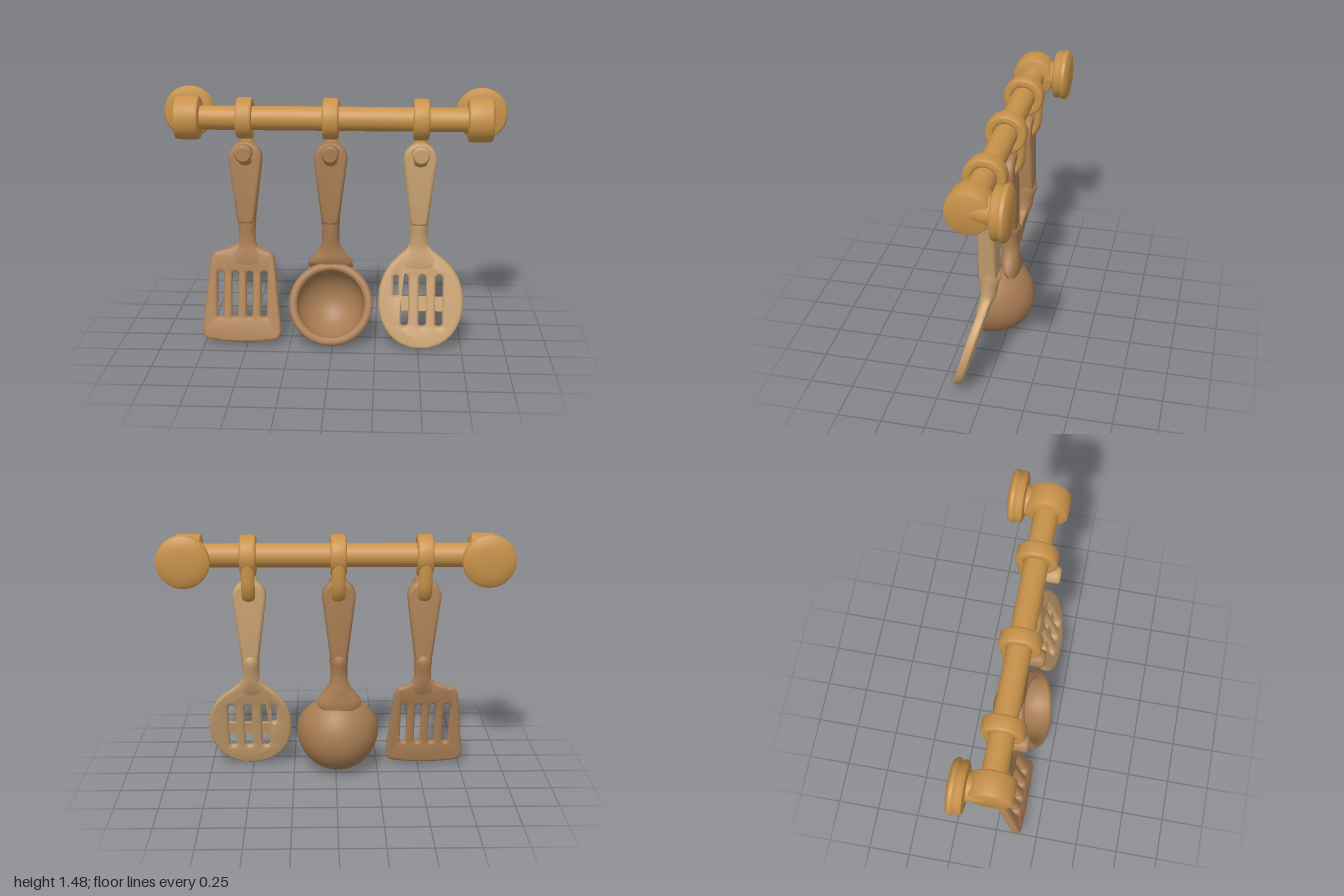
import * as THREE from 'three';
import { toCreasedNormals } from 'three/addons/utils/BufferGeometryUtils.js';

const V2 = (p) => p.map(([x, y]) => new THREE.Vector2(x, y));
const RAIL = 0xc8924a, RAIL_Y = 1.342, RAIL_Z = 0.013;

function add(parent, name, geo, color, crease = 0.7) {
  const mesh = new THREE.Mesh(toCreasedNormals(geo, crease), new THREE.MeshStandardMaterial({ color }));
  mesh.name = name;
  parent.add(mesh);
  return mesh;
}

// Bevelled plate centred on z = 0; the outline keeps its exact size
function plate(shape, thick, bevel) {
  const depth = thick - 2 * bevel;
  return new THREE.ExtrudeGeometry(shape, {
    depth, bevelEnabled: true, bevelSize: bevel, bevelThickness: bevel,
    bevelOffset: -bevel, bevelSegments: 3, curveSegments: 20,
  }).translate(0, 0, -depth / 2);
}

// Leans a plate forward below y0
function lean(geo, y0, z0, slope) {
  const p = geo.attributes.position;
  for (let i = 0; i < p.count; i++) p.setZ(i, p.getZ(i) + z0 + (y0 - p.getY(i)) * slope);
  return geo;
}

// Upright slot with round ends
function slot(x, y0, y1, w) {
  const r = w / 2, path = new THREE.Path();
  path.absarc(x, y1 - r, r, 0, Math.PI);
  path.absarc(x, y0 + r, r, Math.PI, 2 * Math.PI);
  path.closePath();
  return path;
}

// Skin over elliptical sections [y, halfWidth, halfDepth, z], listed top to bottom
function loft(sections, n = 24) {
  const pos = [], idx = [];
  for (const [y, w, d, z] of sections)
    for (let i = 0; i < n; i++) {
      const a = (i / n) * 2 * Math.PI;
      pos.push(w * Math.cos(a), y, z + d * Math.sin(a));
    }
  for (let s = 0; s < sections.length - 1; s++)
    for (let i = 0; i < n; i++) {
      const a = s * n + i, b = s * n + (i + 1) % n;
      idx.push(a, b, a + n, b, b + n, a + n);
    }
  const geo = new THREE.BufferGeometry();
  geo.setAttribute('position', new THREE.Float32BufferAttribute(pos, 3));
  geo.setIndex(idx);
  geo.computeVertexNormals();
  return geo;
}

// Grip with hanging hole, ending in a small collar
function addHandle(g, x, color) {
  const s = new THREE.Shape();
  s.moveTo(0.05, 0.735);
  s.lineTo(0.086, 1.02);
  s.absarc(0, 1.107, 0.096, -0.2, Math.PI + 0.2);
  s.lineTo(-0.086, 1.02);
  s.lineTo(-0.05, 0.735);
  s.quadraticCurveTo(0, 0.7, 0.05, 0.735);
  const hole = new THREE.Path();
  hole.absarc(0, 1.1, 0.056, 0, 2 * Math.PI);
  s.holes.push(hole);
  const geo = plate(s, 0.1, 0.022);
  // slimmer towards the top
  const p = geo.attributes.position;
  for (let i = 0; i < p.count; i++) p.setZ(i, p.getZ(i) * (1.15 - 0.75 * Math.max(0, p.getY(i) - 0.74)));
  add(g, 'handle', geo.translate(x, 0, 0), color);
}

function addNeck(g, x, color, lower) {
  const upper = [[0.77, 0.046, 0.05, 0], [0.74, 0.054, 0.062, -0.008], [0.71, 0.053, 0.062, -0.008], [0.68, 0.05, 0.054, -0.003]];
  add(g, 'neck', loft([...upper, ...lower]).translate(x, 0, 0), color, 1);
}

// Ring round the rail, J hook through the handle hole, and peg
function addHook(g, x, pegColor) {
  const hook = new THREE.Group();
  hook.name = 'hook';
  const s = new THREE.Shape();
  s.absarc(0, 0, 0.118, 0, 2 * Math.PI);
  const hole = new THREE.Path();
  hole.absarc(0, 0, 0.068, 0, 2 * Math.PI);
  s.holes.push(hole);
  add(hook, 'hookRing', plate(s, 0.092, 0.014).rotateY(Math.PI / 2).translate(0, RAIL_Y, RAIL_Z), RAIL);
  const path = new THREE.CatmullRomCurve3([
    [1.32, -0.076], [1.24, -0.075], [1.16, -0.066], [1.105, -0.035], [1.087, 0.015], [1.11, 0.06], [1.17, 0.078],
  ].map(([y, z]) => new THREE.Vector3(0, y, z)));
  add(hook, 'hookArm', new THREE.TubeGeometry(path, 28, 0.023, 12).scale(1.7, 1, 1), RAIL);
  add(hook, 'hookPeg', new THREE.LatheGeometry(V2([[0, 0.06], [0.042, 0.06], [0.05, 0.075], [0.05, 0.138], [0.04, 0.15], [0, 0.15]]), 14)
    .rotateX(Math.PI / 2).translate(0, 1.157, 0), pegColor);
  hook.position.x = x;
  g.add(hook);
}

function makeRail() {
  const g = new THREE.Group();
  g.name = 'rail';
  add(g, 'bar', new THREE.CylinderGeometry(0.069, 0.069, 1.56, 28).rotateZ(Math.PI / 2).translate(0, RAIL_Y, RAIL_Z), RAIL);
  for (const side of [-1, 1]) {
    // rounded end cap
    add(g, 'endCap', new THREE.LatheGeometry(V2([[0, -0.072], [0.108, -0.072], [0.12, -0.066], [0.125, -0.052],
      [0.125, 0.052], [0.12, 0.066], [0.108, 0.072], [0, 0.072]]), 36)
      .rotateZ(-Math.PI / 2).translate(side * 0.831, RAIL_Y, RAIL_Z), RAIL);
    // stem to the wall
    add(g, 'wallStem', new THREE.CylinderGeometry(0.085, 0.07, 0.12, 28)
      .rotateX(-Math.PI / 2).translate(side * 0.836, RAIL_Y, -0.065), RAIL);
    // grooved wall disc, domed at the back
    add(g, 'wallDisc', new THREE.LatheGeometry(V2([[0, 0.11], [0.115, 0.11], [0.138, 0.117], [0.146, 0.132], [0.138, 0.15],
      [0.14, 0.155], [0.15, 0.168], [0.148, 0.186], [0.13, 0.2], [0.08, 0.209], [0, 0.212]]), 36)
      .rotateX(-Math.PI / 2).translate(side * 0.849, RAIL_Y + 0.003, 0), RAIL);
  }
  return g;
}

function makeSpatula() {
  const g = new THREE.Group(), color = 0xb08358, x = -0.507;
  g.name = 'slottedTurner';
  addHandle(g, x, color);
  addNeck(g, x, color, [[0.61, 0.05, 0.045, 0], [0.57, 0.065, 0.042, 0.008], [0.53, 0.1, 0.036, 0.02], [0.48, 0.13, 0.024, 0.032], [0.44, 0.1, 0.01, 0.042]]);
  const s = new THREE.Shape();
  s.moveTo(-0.16, 0.545);
  s.quadraticCurveTo(-0.185, 0.53, -0.192, 0.47);
  s.lineTo(-0.231, 0.11);
  s.quadraticCurveTo(-0.236, 0.055, -0.19, 0.045);
  s.quadraticCurveTo(0, 0.015, 0.19, 0.045);
  s.quadraticCurveTo(0.236, 0.055, 0.231, 0.11);
  s.lineTo(0.192, 0.47);
  s.quadraticCurveTo(0.185, 0.53, 0.16, 0.545);
  s.quadraticCurveTo(0.09, 0.56, 0.07, 0.6);
  s.lineTo(-0.03, 0.6);
  s.quadraticCurveTo(-0.04, 0.57, -0.16, 0.545);
  for (let i = 0; i < 4; i++) s.holes.push(slot(-0.127 + i * 0.085, 0.17, 0.435, 0.037));
  add(g, 'blade', lean(plate(s, 0.052, 0.015), 0.58, 0.005, 0.235).translate(-0.533, 0, 0), color);
  addHook(g, -0.505, color);
  return g;
}

function makeLadle() {
  const g = new THREE.Group(), color = 0xa87c52, x = -0.017;
  g.name = 'ladle';
  addHandle(g, x, color);
  addNeck(g, x, color, [[0.61, 0.05, 0.05, -0.005], [0.57, 0.062, 0.052, -0.012], [0.53, 0.092, 0.055, -0.012], [0.49, 0.128, 0.058, -0.012], [0.45, 0.13, 0.045, -0.03], [0.41, 0.06, 0.015, -0.05]]);
  // outer shell up to the rim, then the inner shell back down
  const outer = [], inner = [];
  for (let i = 0; i <= 14; i++) {
    const a = (i / 14) * Math.PI / 2;
    outer.push([0.245 * Math.sin(a), -0.015 - 0.27 * Math.cos(a)]);
    inner.unshift([0.198 * Math.sin(a), -0.01 - 0.2 * Math.cos(a)]);
  }
  const profile = [...outer, [0.238, -0.004], [0.222, 0.002], [0.206, -0.002], ...inner];
  add(g, 'bowl', new THREE.LatheGeometry(V2(profile), 40).rotateX(1.19).translate(-0.012, 0.268, 0.125), color);
  addHook(g, -0.015, color);
  return g;
}

function makeSpoon() {
  const g = new THREE.Group(), color = 0xc8a070, x = 0.496;
  g.name = 'slottedSpoon';
  addHandle(g, x, color);
  addNeck(g, x, color, [[0.61, 0.05, 0.045, 0], [0.57, 0.066, 0.042, 0.01], [0.53, 0.11, 0.036, 0.024], [0.48, 0.14, 0.026, 0.038], [0.44, 0.1, 0.01, 0.05]]);
  const s = new THREE.Shape();
  s.moveTo(0.04, 0.6);
  s.bezierCurveTo(0.06, 0.54, 0.246, 0.5, 0.246, 0.285);
  s.bezierCurveTo(0.246, 0.12, 0.14, 0.02, 0, 0.02);
  s.bezierCurveTo(-0.14, 0.02, -0.246, 0.12, -0.246, 0.285);
  s.bezierCurveTo(-0.246, 0.5, -0.09, 0.54, -0.07, 0.6);
  s.closePath();
  for (const sx of [-0.093, 0.01, 0.106]) s.holes.push(slot(sx, 0.14, 0.432, 0.042));
  s.holes.push(slot(-0.144, 0.31, 0.428, 0.032));
  add(g, 'blade', lean(plate(s, 0.052, 0.015), 0.58, 0.005, 0.285).translate(0.512, 0, 0), color);
  // recessed bar crossing the slots
  const bar = new THREE.BoxGeometry(0.25, 0.075, 0.026).translate(0, 0.268, 0);
  add(g, 'crossBar', lean(bar, 0.58, 0.003, 0.285).translate(0.518, 0, 0), color);
  addHook(g, 0.498, color);
  return g;
}

export function createModel() {
  const model = new THREE.Group();
  model.name = 'utensilRack';
  model.add(makeRail(), makeSpatula(), makeLadle(), makeSpoon());
  return model;
}
